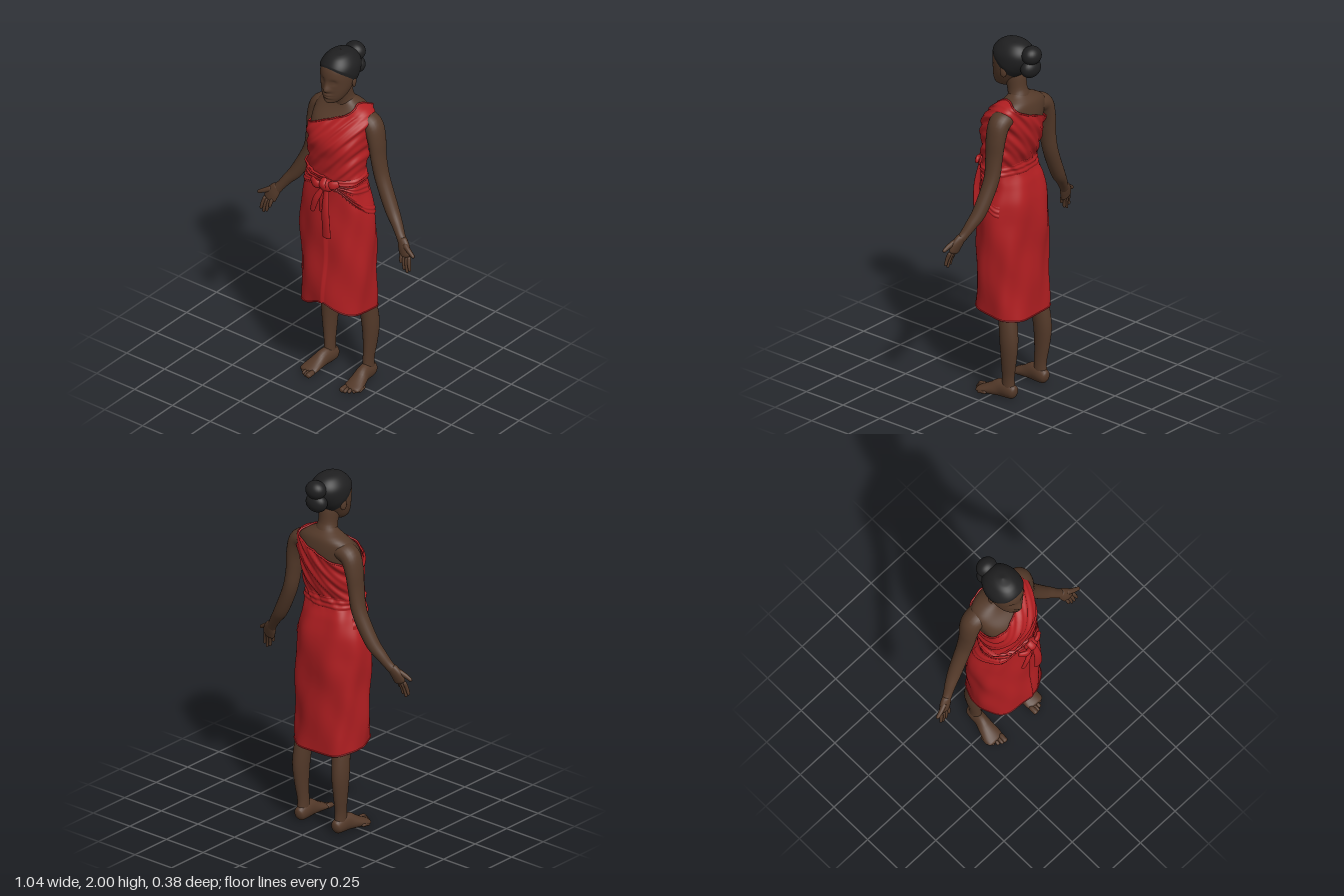
import * as THREE from 'three';

const mat = (name, color, side = THREE.FrontSide) => {
  const m = new THREE.MeshStandardMaterial({ color, side });
  m.name = name;
  return m;
};
const { cos, sin, PI, abs, sign, exp, max, sqrt, min } = Math;
const gauss = (d, w) => exp(-(d * d) / (w * w));

// Smooth interpolation of rows keyed by their first entry
function sample(rows, t) {
  const n = rows.length;
  let i = 0;
  while (i < n - 2 && t > rows[i + 1][0]) i++;
  const a = rows[i], b = rows[i + 1], p = rows[max(i - 1, 0)], q = rows[min(i + 2, n - 1)];
  const h = b[0] - a[0], s = min(1, max(0, (t - a[0]) / h));
  const s2 = s * s, s3 = s2 * s;
  return a.map((_, k) => {
    const ma = (b[k] - p[k]) / (b[0] - p[0]) * h, mb = (q[k] - a[k]) / (q[0] - a[0]) * h;
    return (2 * s3 - 3 * s2 + 1) * a[k] + (s3 - 2 * s2 + s) * ma + (3 * s2 - 2 * s3) * b[k] + (s3 - s2) * mb;
  });
}

// Grid surface from fn(u, v); closed joins the ends of u
function grid(fn, nu, nv, closed = true) {
  const pos = [], idx = [], cols = closed ? nu : nu + 1;
  for (let j = 0; j <= nv; j++)
    for (let i = 0; i < cols; i++) pos.push(...fn(i / nu, j / nv));
  for (let j = 0; j < nv; j++)
    for (let i = 0; i < nu; i++) {
      const a = j * cols + i, b = j * cols + (i + 1) % cols, c = a + cols, d = b + cols;
      idx.push(a, c, b, b, c, d);
    }
  const g = new THREE.BufferGeometry();
  g.setAttribute('position', new THREE.Float32BufferAttribute(pos, 3));
  g.setIndex(idx);
  g.computeVertexNormals();
  return g;
}

// Tapered limb through points [x, y, z, half width, half depth], rounded at both ends
function limb(points, { ref = [0, 0, 1], cap = 0.1, nu = 16, nv = 24 } = {}) {
  const rows = points.map((p, i) => [i, ...p]), last = points.length - 1;
  const at = t => new THREE.Vector3(...sample(rows, t).slice(1, 4));
  return grid((u, w) => {
    const v = (1 - cos(PI * w)) / 2, t = v * last;
    const [, x, y, z, ra, rb] = sample(rows, t);
    const dir = at(min(last, t + 0.02)).sub(at(max(0, t - 0.02))).normalize();
    const B = new THREE.Vector3(...ref);
    B.addScaledVector(dir, -B.dot(dir)).normalize();
    const A = dir.clone().cross(B);
    const e = min(1, min(v, 1 - v) / cap), f = max(0.01, sqrt(1 - (1 - e) ** 2));
    const c = cos(u * 2 * PI) * ra * f, s = sin(u * 2 * PI) * rb * f;
    return [x + A.x * c + B.x * s, y + A.y * c + B.y * s, z + A.z * c + B.z * s];
  }, nu, nv);
}

// Point on a body profile with rows [y, x centre, z centre, x radius, z radius]; angle PI/2 is the front
function onProfile(rows, a, y, off = 0, power = 2.3) {
  const [, xc, zc, rx, rz] = sample(rows, y), e = 2 / power;
  return [xc + (rx + off) * sign(cos(a)) * abs(cos(a)) ** e, y, zc + (rz + off) * sign(sin(a)) * abs(sin(a)) ** e];
}

const dressRows = [
  [0.44, 0, -0.004, 0.192, 0.166], [0.6, -0.004, 0, 0.198, 0.162], [0.8, -0.003, -0.006, 0.205, 0.154],
  [0.95, -0.008, -0.012, 0.209, 0.152], [1.1, -0.009, -0.014, 0.2, 0.143], [1.2, -0.01, -0.004, 0.174, 0.13],
  [1.29, 0, 0.01, 0.161, 0.113], [1.4, 0, -0.004, 0.162, 0.133], [1.5, 0, -0.012, 0.166, 0.148],
  [1.58, 0, -0.036, 0.176, 0.132], [1.64, 0, -0.064, 0.17, 0.098], [1.67, 0, -0.07, 0.13, 0.08],
  [1.69, 0, -0.064, 0.085, 0.064], [1.71, 0, -0.056, 0.06, 0.052]];
const headRows = [
  [1.72, 0, 0.05, 0.012, 0.016], [1.728, 0, 0.043, 0.034, 0.042], [1.75, 0, 0.03, 0.056, 0.062],
  [1.79, 0, 0.014, 0.075, 0.08], [1.84, 0, -0.006, 0.088, 0.1], [1.89, 0, -0.018, 0.093, 0.114],
  [1.93, 0, -0.022, 0.088, 0.108], [1.965, 0, -0.024, 0.065, 0.082], [1.985, 0, -0.024, 0.036, 0.046],
  [1.992, 0, -0.024, 0.001, 0.001]];

const neckline = a => 1.605 + 0.08 * cos(a) + 0.01 * sin(a);
const hemline = a => 0.473 + 0.022 * sin(a) + 0.056 * gauss(a - 1.45, 0.4);

// Cloth surface: diagonal pleats above the waist, soft vertical folds and a wrap edge below
function cloth(a, y, off = 0) {
  const [x] = onProfile(dressRows, a, y);
  const up = min(1, max(0, (y - 1.24) / 0.08)), low = min(1, max(0, (1 - y) / 0.45));
  const pleat = 0.004 * sin((y - 0.95 * x) * 62) + 0.003 * sin((y - 1.3 * x) * 105 + 1);
  const d = a - 1.42;
  const edge = d > 0 && d < 1.2 ? 0.01 * exp(-d * 4) : 0;
  const soft = 0.004 * sin(a * 7 + y * 9) + 0.003 * sin(a * 4 - y * 17) + edge;
  const power = 2.3 + low * (sin(a) > 0 ? -0.25 : 0.6);
  return onProfile(dressRows, a, y, off + pleat * up + soft * (1 - up), power);
}

export function createModel() {
  const model = new THREE.Group();
  const skin = mat('brown skin', 0x533929);
  const red = mat('red cloth', 0xb01e21, THREE.DoubleSide);
  const black = mat('black hair', 0x1f1f20, THREE.DoubleSide);
  const add = (name, geo, m) => {
    const mesh = new THREE.Mesh(geo, m);
    mesh.name = name;
    model.add(mesh);
    return mesh;
  };
  const ball = (name, m, p, r) => {
    const b = add(name, new THREE.SphereGeometry(1, 28, 20), m);
    b.position.set(...p);
    b.scale.set(...r);
    return b;
  };

  // Torso and neck
  add('torso', grid((u, v) => onProfile(dressRows, u * 2 * PI, 1.32 + 0.39 * v, -0.011), 56, 36), skin);
  add('neck', limb([[0, 1.6, -0.065, 0.1, 0.065], [0, 1.67, -0.06, 0.07, 0.058], [0, 1.72, -0.048, 0.052, 0.052],
    [0, 1.79, -0.035, 0.054, 0.058], [0, 1.85, -0.03, 0.05, 0.05]], { nu: 28 }), skin);

  // Head with sculpted nose, eye sockets, brow, lips and chin
  add('head', grid((u, v) => {
    const a = u * 2 * PI, y = 1.72 + 0.272 * (1 - cos(PI * v)) / 2;
    const p = onProfile(headRows, a, y, 0, 2.1), x = p[0];
    if (sin(a) > 0) {
      const nose = y > 1.81 ? gauss(y - 1.81, 0.034) : gauss(y - 1.81, 0.014);
      p[2] += 0.022 * gauss(x, 0.014 + 0.008 * gauss(y - 1.81, 0.02)) * nose
        - 0.01 * gauss(abs(x) - 0.036, 0.017) * gauss(y - 1.858, 0.014)
        + 0.004 * gauss(abs(x) - 0.034, 0.011) * gauss(y - 1.856, 0.007)
        + 0.011 * gauss(x, 0.028) * (gauss(y - 1.781, 0.007) + gauss(y - 1.765, 0.007))
        + 0.006 * gauss(x, 0.025) * gauss(y - 1.738, 0.012);
    }
    return p;
  }, 96, 72), skin);

  // Hair cap with a curved hairline, and two stacked buns
  const hairline = a => sin(a) > 0 ? 1.855 + 0.08 * sin(a) ** 0.9 : 1.855 - 0.062 * abs(sin(a)) ** 0.8;
  add('hair', grid((u, v) => {
    const a = u * 2 * PI, lo = hairline(a);
    const [x, y, z] = onProfile(headRows, a, lo + (1.992 - lo) * sin(v * PI / 2),
      0.007 * min(1, 0.3 + v * 6) * sqrt(1 - v ** 6), 2.1);
    return [x, y + 0.007 * v, z];
  }, 72, 40), black);
  ball('upperBun', black, [0, 1.934, -0.144], [0.058, 0.05, 0.05]);
  ball('lowerBun', black, [0, 1.862, -0.138], [0.064, 0.053, 0.046]);

  for (const s of [1, -1]) {
    const side = s > 0 ? 'left' : 'right';
    const flip = pts => pts.map(([x, ...r]) => [x * s, ...r]);
    const ear = ball(side + 'Ear', skin, [s * 0.087, 1.834, -0.026], [0.01, 0.03, 0.019]);
    ear.rotation.y = s * 0.35;

    // Shoulder and arm
    add(side + 'Arm', limb(flip([[0.06, 1.607, -0.068, 0.047, 0.058], [0.125, 1.602, -0.071, 0.051, 0.062],
      [0.175, 1.578, -0.072, 0.051, 0.06], [0.201, 1.5, -0.071, 0.042, 0.057], [0.213, 1.4, -0.07, 0.037, 0.05],
      [0.237, 1.28, -0.072, 0.038, 0.043], [0.308, 1.13, -0.058, 0.037, 0.038], [0.36, 1.06, -0.04, 0.029, 0.031],
      [0.395, 1.012, -0.024, 0.025, 0.025], [0.425, 0.975, -0.01, 0.031, 0.02]]), { cap: 0.06, nu: 24, nv: 60 }), skin);

    // Palm, thumb and fingers
    add(side + 'Palm', limb(flip([[0.405, 1.01, -0.02, 0.024, 0.022], [0.432, 0.965, -0.006, 0.037, 0.022],
      [0.452, 0.912, 0.006, 0.036, 0.015]]), { cap: 0.15 }), skin);
    [[0.474, 0.928, 0.493, 0.852], [0.459, 0.92, 0.476, 0.837], [0.443, 0.92, 0.456, 0.848], [0.427, 0.93, 0.434, 0.882]]
      .forEach(([x, y, tx, ty], i) => add(side + 'Finger' + (i + 1), limb(flip([[x, y, 0.006, 0.0105, 0.011],
        [(x + tx) / 2, (y + ty) / 2, 0.018, 0.0095, 0.01], [tx, ty, 0.022, 0.0075, 0.008]]), { nu: 10, nv: 12 }), skin));
    add(side + 'Thumb', limb(flip([[0.435, 0.985, -0.005, 0.017, 0.016], [0.478, 0.964, 0.01, 0.013, 0.013],
      [0.517, 0.942, 0.018, 0.009, 0.009]]), { nu: 12, nv: 14 }), skin);

    // Leg, foot and toes
    add(side + 'Leg', limb(flip([[0.127, 0.03, -0.096, 0.03, 0.042], [0.128, 0.12, -0.095, 0.027, 0.037],
      [0.133, 0.22, -0.102, 0.034, 0.045], [0.134, 0.33, -0.104, 0.043, 0.053], [0.126, 0.45, -0.09, 0.047, 0.052],
      [0.112, 0.56, -0.063, 0.052, 0.055], [0.1, 0.7, -0.03, 0.058, 0.06]]), { cap: 0.03, nu: 24, nv: 36 }), skin);
    add(side + 'Foot', limb(flip([[0.126, 0.034, -0.146, 0.027, 0.032], [0.126, 0.046, -0.105, 0.034, 0.045],
      [0.13, 0.05, -0.05, 0.035, 0.049], [0.138, 0.036, 0.0, 0.044, 0.035], [0.144, 0.023, 0.05, 0.051, 0.022],
      [0.144, 0.016, 0.085, 0.044, 0.014]]), { ref: [0, 1, 0], cap: 0.09, nu: 24, nv: 32 }), skin);
    for (let i = 0; i < 5; i++) {
      const x = 0.109 + i * 0.019, tip = 0.118 - i * i * 0.0035, r = i ? 0.01 : 0.015;
      add(side + 'Toe' + (i + 1), limb(flip([[x, 0.02, tip - 0.055, r, r], [x + 0.002, 0.018, tip - 0.02, r, r],
        [x + 0.002, r, tip, r, r * 0.9]]), { ref: [0, 1, 0], cap: 0.2, nu: 10, nv: 10 }), skin);
    }
  }

  // One-shoulder bodice and wrapped skirt
  add('bodice', grid((u, v) => {
    const a = u * 2 * PI;
    return cloth(a, 1.25 + (neckline(a) - 1.25) * v, 0.002);
  }, 120, 60), red);
  add('skirt', grid((u, v) => {
    const a = u * 2 * PI, lo = hemline(a);
    return cloth(a, lo + (1.29 - lo) * v);
  }, 140, 60), red);

  // Rolled neckline and hem
  const roll = (name, yOf, r) => {
    const pts = Array.from({ length: 64 }, (_, i) => new THREE.Vector3(...cloth(i * PI / 32, yOf(i * PI / 32))));
    add(name, new THREE.TubeGeometry(new THREE.CatmullRomCurve3(pts, true), 128, r, 8, true), red);
  };
  roll('necklineEdge', neckline, 0.005);
  roll('hemEdge', hemline, 0.004);

  // Pleated sash bands laid on the cloth: angles, heights, widths and bulge
  const band = (name, a0, a1, y0, y1, w0, w1, h) => add(name, grid((u, v) => {
    const s = u - 0.5, k = v * v * (3 - 2 * v);
    const y = y0 + (y1 - y0) * k + s * (w0 + (w1 - w0) * k);
    return cloth(a0 + (a1 - a0) * v, y, h * sqrt(max(0, cos(PI * s))) + 0.002 * sin(u * 18 + v * 3) - 0.003);
  }, 18, 40, false), red);
  band('sashLeft', 1.35, -PI / 2, 1.272, 1.29, 0.05, 0.08, 0.011);
  band('sashRight', 1.4, 1.5 * PI, 1.272, 1.29, 0.05, 0.08, 0.011);
  band('sashUpperFold', 1.4, 3.4, 1.285, 1.315, 0.035, 0.045, 0.014);
  band('drapeRight', 1.4, 3.5, 1.25, 1.205, 0.035, 0.1, 0.011);
  band('drapeLeftUpper', 1.35, -0.3, 1.255, 1.21, 0.03, 0.08, 0.009);
  band('drapeLeft', 1.35, -0.4, 1.245, 1.07, 0.03, 0.07, 0.007);

  // Knot, loops and hanging tails
  ball('knot', red, [0.04, 1.265, 0.145], [0.042, 0.036, 0.03]);
  add('knotWrap', limb([[0.025, 1.305, 0.14, 0.018, 0.01], [0.032, 1.275, 0.172, 0.02, 0.01],
    [0.05, 1.23, 0.15, 0.018, 0.01]]), red);
  add('bowLoopRight', limb([[0.03, 1.265, 0.152, 0.014, 0.012], [-0.012, 1.268, 0.17, 0.024, 0.013],
    [-0.055, 1.275, 0.148, 0.018, 0.01]]), red);
  add('bowLoopLeft', limb([[0.05, 1.27, 0.148, 0.014, 0.012], [0.08, 1.28, 0.152, 0.024, 0.012],
    [0.112, 1.29, 0.132, 0.018, 0.01]]), red);
  add('longTail', limb([[0.048, 1.26, 0.155, 0.014, 0.01], [0.058, 1.12, 0.178, 0.023, 0.012],
    [0.064, 0.963, 0.174, 0.026, 0.01]], { cap: 0.02 }), red);
  add('shortTail', limb([[0.03, 1.255, 0.155, 0.012, 0.008], [-0.008, 1.18, 0.172, 0.018, 0.011],
    [-0.038, 1.09, 0.168, 0.014, 0.009]], { cap: 0.06 }), red);
  add('middleTail', limb([[0.04, 1.255, 0.155, 0.012, 0.008], [0.02, 1.17, 0.163, 0.014, 0.007],
    [0.01, 1.095, 0.155, 0.012, 0.006]], { cap: 0.06 }), red);

  return model;
}
